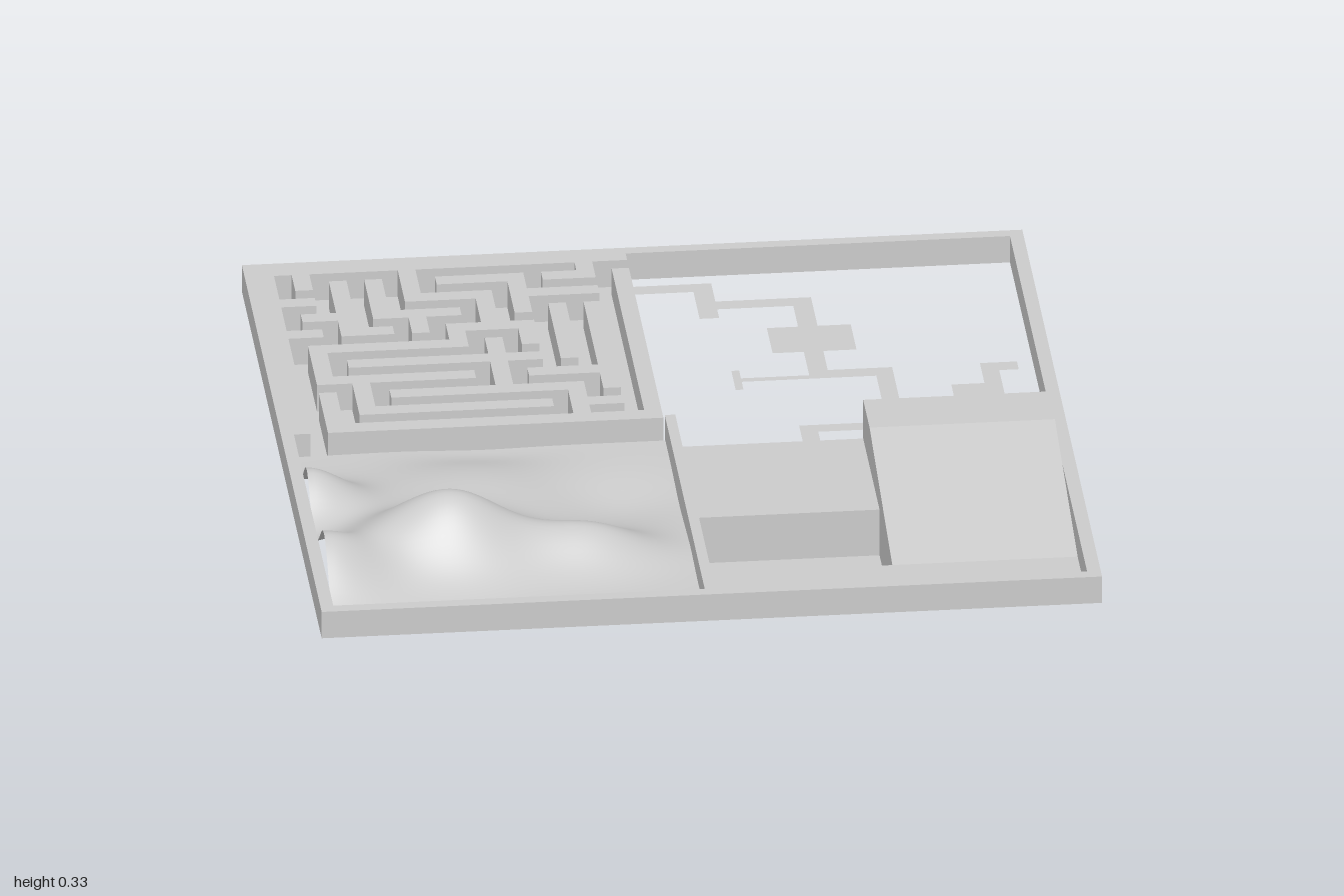
import * as THREE from 'three';
import { mergeGeometries } from 'three/addons/utils/BufferGeometryUtils.js';

const FLOOR = 0.13, TOP = 0.205;
const material = new THREE.MeshStandardMaterial({ color: 0xcccccc, side: THREE.DoubleSide });

// Box given by its x, y and z limits
function box(x0, x1, z0, z1, y0 = FLOOR, y1 = TOP) {
  return new THREE.BoxGeometry(x1 - x0, y1 - y0, z1 - z0)
    .translate((x0 + x1) / 2, (y0 + y1) / 2, (z0 + z1) / 2);
}

// Flat horizontal sheet
function sheet(x0, x1, z0, z1, y = FLOOR) {
  return new THREE.PlaneGeometry(x1 - x0, z1 - z0).rotateX(-Math.PI / 2)
    .translate((x0 + x1) / 2, y, (z0 + z1) / 2);
}

// Sheet that follows a list of [z, y] points, spanning x0 to x1
function strip(x0, x1, points) {
  const parts = [];
  for (let i = 0; i + 1 < points.length; i++) {
    const [za, ya] = points[i], [zb, yb] = points[i + 1];
    const g = new THREE.PlaneGeometry(1, 1);
    const p = g.attributes.position;
    p.setXYZ(0, x0, ya, za);
    p.setXYZ(1, x1, ya, za);
    p.setXYZ(2, x0, yb, zb);
    p.setXYZ(3, x1, yb, zb);
    g.computeVertexNormals();
    parts.push(g);
  }
  return mergeGeometries(parts);
}

// Upright sheet at a fixed x with an outline of [z, y] points
function sideWall(x, points) {
  const shape = new THREE.Shape(points.map(([z, y]) => new THREE.Vector2(-z, y)));
  return new THREE.ShapeGeometry(shape).rotateY(Math.PI / 2).translate(x, 0, 0);
}

function add(group, name, geometries) {
  const mesh = new THREE.Mesh(mergeGeometries(geometries), material);
  mesh.name = name;
  group.add(mesh);
}

const MAZE = [
  '.#.....#.........#.',
  '.#.#.#.#.#####.###.',
  '...#.#.#.....#.....',
  '##.#.#.#####.#####.',
  '...#.#.....#.#.....',
  '.###.#####.#.#.#.#.',
  '...#...#...#...#.#.',
  '##.###.#.#####.#.#.',
  '.........#...#.#.#.',
  '.#########.#.#.#.#.',
  '.#.........#...#.#.',
  '.#.###########.#.#.',
  '.#.........#.....#.',
  '.#########.#.#####.',
  '...#.......#.....#.',
  '.#.#.###########.#.',
  '.#.#...........#...',
  '.#.###########.###.',
  '.#.............#...',
];

function mazeGeometries() {
  const x0 = -0.925, z0 = -0.93, s = 0.0453, end = 19 * s;
  const parts = [
    sheet(-1, -0.02, -1, -0.02),
    // solid border with an exit at the back right and one at the front left
    box(-1, -0.02, -1, z0),
    box(-1, x0, z0, -0.02),
    box(x0 + end, -0.02, z0 + s, -0.02),
    box(x0 + s, x0 + end, z0 + end, -0.02),
  ];
  // each run of # becomes one wall block
  MAZE.forEach((row, r) => {
    for (const run of row.matchAll(/#+/g)) {
      const a = x0 + run.index * s;
      parts.push(box(a, a + run[0].length * s, z0 + r * s, z0 + (r + 1) * s));
    }
  });
  return parts;
}

// Hills: [x, z, height, x spread, z spread]
const HILLS = [
  [-0.61, 0.60, 0.165, 0.13, 0.11],
  [-0.98, 0.74, 0.15, 0.12, 0.1],
  [-0.97, 0.30, 0.12, 0.1, 0.08],
  [-0.28, 0.62, 0.085, 0.12, 0.08],
  [-0.78, 0.55, 0.05, 0.12, 0.12],
  [-0.55, 0.25, 0.045, 0.16, 0.14],
  [-0.18, 0.32, -0.025, 0.12, 0.1],
  [-0.5, 0.02, -0.012, 0.12, 0.06],
];

function terrainGeometry() {
  const g = sheet(-0.967, -0.015, -0.02, 0.967, 0);
  const size = new THREE.PlaneGeometry(0.952, 0.987, 56, 56).rotateX(-Math.PI / 2)
    .translate(-0.491, 0, 0.4735);
  g.dispose();
  const p = size.attributes.position;
  for (let i = 0; i < p.count; i++) {
    let y = 0.14;
    for (const [x, z, h, sx, sz] of HILLS) {
      y += h * Math.exp(-0.5 * (((p.getX(i) - x) / sx) ** 2 + ((p.getZ(i) - z) / sz) ** 2));
    }
    p.setY(i, y);
  }
  size.computeVertexNormals();
  return size;
}

// Walkway rectangles: [x0, x1, z0, z1]
const PATH = [
  [-0.02, 0.195, -0.925, -0.88],
  [0.145, 0.195, -0.88, -0.725],
  [0.195, 0.44, -0.82, -0.775],
  [0.39, 0.44, -0.775, -0.655],
  [0.31, 0.525, -0.655, -0.51],
  [0.39, 0.44, -0.51, -0.4],
  [0.39, 0.605, -0.4, -0.355],
  [0.215, 0.39, -0.375, -0.355],
  [0.195, 0.215, -0.42, -0.31],
  [0.56, 0.605, -0.355, -0.14],
  [0.605, 0.745, -0.185, -0.14],
  [0.745, 0.875, -0.285, -0.14],
  [0.83, 0.875, -0.4, -0.285],
  [0.875, 0.925, -0.4, -0.355],
  [0.745, 0.825, -0.14, -0.05],
  [0.335, 0.745, -0.09, -0.05],
  [0.335, 0.38, -0.05, 0],
];

export function createModel() {
  const model = new THREE.Group();
  model.name = 'obstacleBoard';

  // Outer frame and the wall between the two front fields
  add(model, 'frame', [
    box(-1, 1, -1, -0.967),
    box(-1, 1, 0.967, 1),
    box(-1, -0.967, -0.967, 0.967),
    box(0.965, 1, -0.967, 0.967),
  ]);
  add(model, 'dividerWall', [box(-0.015, 0.012, -0.035, 0.967)]);

  add(model, 'maze', mazeGeometries());
  add(model, 'hillyTerrain', [terrainGeometry()]);
  add(model, 'narrowWalkway', PATH.map((r) => sheet(...r)));

  // Platform, pit and floor at the front right
  add(model, 'platform', [sheet(0.012, 0.49, 0, 0.41)]);
  add(model, 'frontFloor', [sheet(0.012, 0.965, 0.73, 0.967)]);
  const pitEnd = [[0.41, 0], [0.41, FLOOR], [0.73, FLOOR], [0.73, 0]];
  add(model, 'pit', [
    strip(0.012, 0.49, [[0.41, FLOOR], [0.41, 0], [0.73, 0], [0.73, FLOOR]]),
    sideWall(0.012, pitEnd),
    sideWall(0.49, pitEnd),
  ]);

  // Hollow ramp, open underneath
  const ramp = [[0, FLOOR], [0, 0.24], [0.16, 0.24], [0.73, FLOOR]];
  add(model, 'ramp', [strip(0.49, 0.965, ramp), sideWall(0.49, ramp), sideWall(0.965, ramp)]);

  return model;
}
